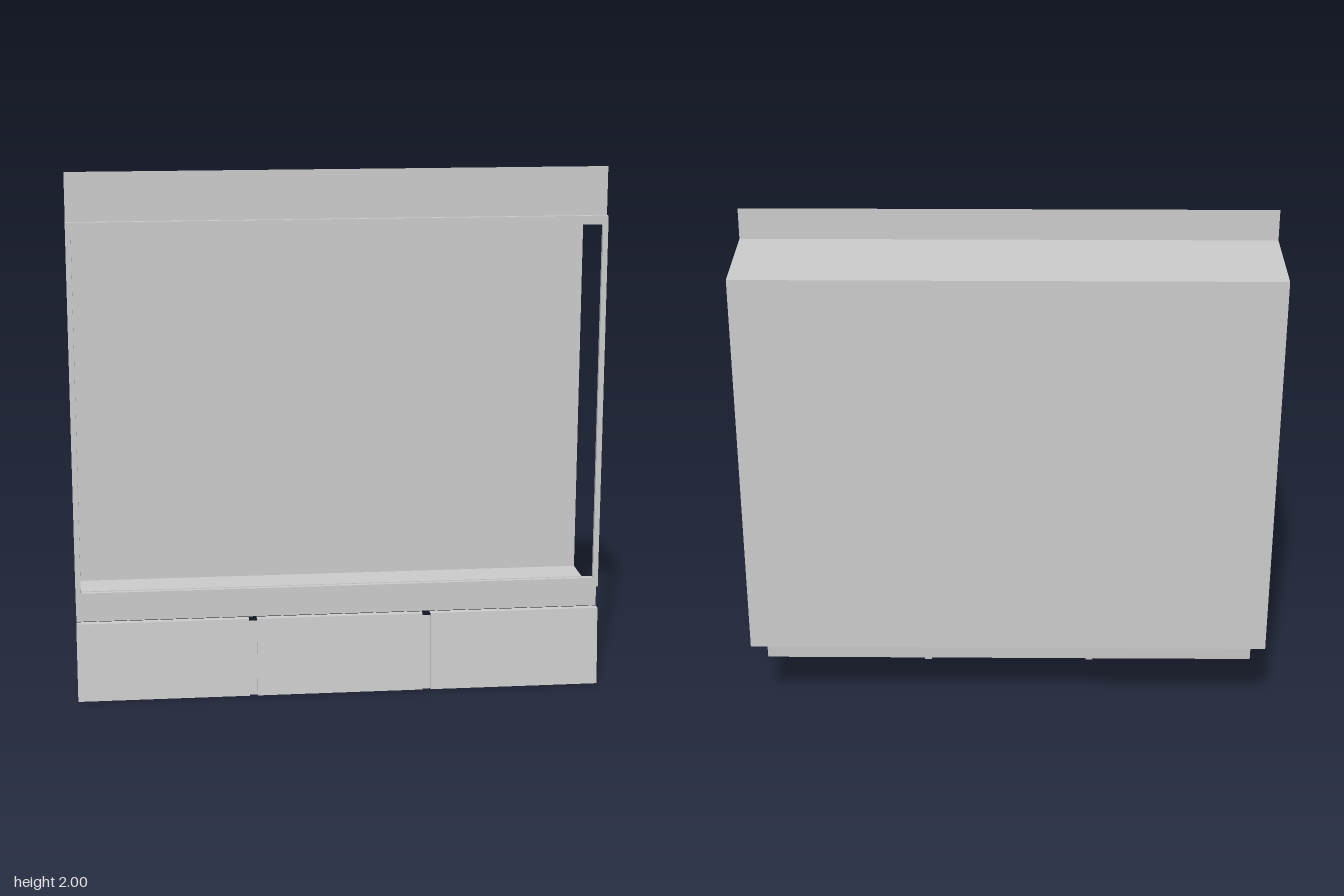
import * as THREE from 'three';

const sheetMat = new THREE.MeshStandardMaterial({ color: 0xcccccc, flatShading: true, side: THREE.DoubleSide });

// Thin sheet lofted between two matching lists of [x, y, z] points
function ribbon(name, a, b) {
  const pos = [];
  for (let i = 0; i < a.length - 1; i++) {
    pos.push(...a[i], ...b[i], ...b[i + 1], ...a[i], ...b[i + 1], ...a[i + 1]);
  }
  const geo = new THREE.BufferGeometry();
  geo.setAttribute('position', new THREE.Float32BufferAttribute(pos, 3));
  geo.computeVertexNormals();
  const mesh = new THREE.Mesh(geo, sheetMat);
  mesh.name = name;
  return mesh;
}

// Folded sheet: a [y, z] profile swept from x0 to x1
function foldedSheet(name, profile, x0 = -1, x1 = 1) {
  const at = (x) => profile.map(([y, z]) => [x, y, z]);
  return ribbon(name, at(x0), at(x1));
}

export function createModel() {
  const model = new THREE.Group();
  model.name = 'displayCase';

  const back = -0.225, front = 0.17, top = 1.88, bottom = 0.34;

  // Open-ended casing
  model.add(
    foldedSheet('topPanel', [[top, front], [top, back]]),
    foldedSheet('backPanel', [[top, back], [bottom, back]]),
    foldedSheet('bottomPanel', [[bottom, back], [bottom, front]]),
    foldedSheet('upperFascia', [[2, front], [1.8, front]]),
    foldedSheet('lowerFascia', [[0.4, front], [0.3, front]])
  );

  // Rectangular front frame with bent lips behind its rails
  const frame = new THREE.Group();
  frame.name = 'frontFrame';
  const rect = (C, x, y0, y1) => new C([[-x, y0], [x, y0], [x, y1], [-x, y1]].map((p) => new THREE.Vector2(...p)));
  const outline = rect(THREE.Shape, 1, 0.385, 1.82);
  outline.holes.push(rect(THREE.Path, 0.98, 0.42, 1.787));
  const border = new THREE.Mesh(
    new THREE.ExtrudeGeometry(outline, { depth: 0.018, bevelEnabled: false }),
    sheetMat
  );
  border.position.z = 0.18;
  border.name = 'frameBorder';
  frame.add(border);
  for (const [name, edge, dir] of [['upperLip', 1.82, -1], ['lowerLip', 0.385, 1]]) {
    frame.add(foldedSheet(name, [[edge, 0.18], [edge + dir * 0.015, 0.172], [edge + dir * 0.035, 0.172]]));
  }
  model.add(frame);

  // Sloping skirt: three panels separated by shallow recessed grooves
  const skirt = new THREE.Group();
  skirt.name = 'skirt';
  const topY = 0.3, grooveTop = 0.29, depth = 0.011, half = 0.015;
  const slopeZ = (y) => 0.203 + ((topY - y) / topY) * 0.022;
  const edges = [-1, -0.333, 0.333, 1];
  for (let i = 0; i < 3; i++) {
    const x0 = edges[i] + (i > 0 ? half : 0);
    const x1 = edges[i + 1] - (i < 2 ? half : 0);
    skirt.add(foldedSheet('skirtPanel', [[topY, 0.175], [topY, slopeZ(topY)], [0, slopeZ(0)]], x0, x1));
  }
  for (const x of [edges[1], edges[2]]) {
    skirt.add(foldedSheet('grooveFloor', [[grooveTop, slopeZ(grooveTop) - depth], [0, slopeZ(0) - depth]], x - half, x + half));
    for (const side of [-1, 1]) {
      const wall = (d) => [grooveTop, 0].map((y) => [x + side * half, y, slopeZ(y) - d]);
      skirt.add(ribbon('grooveWall', wall(0), wall(depth)));
    }
  }
  model.add(skirt);

  return model;
}
